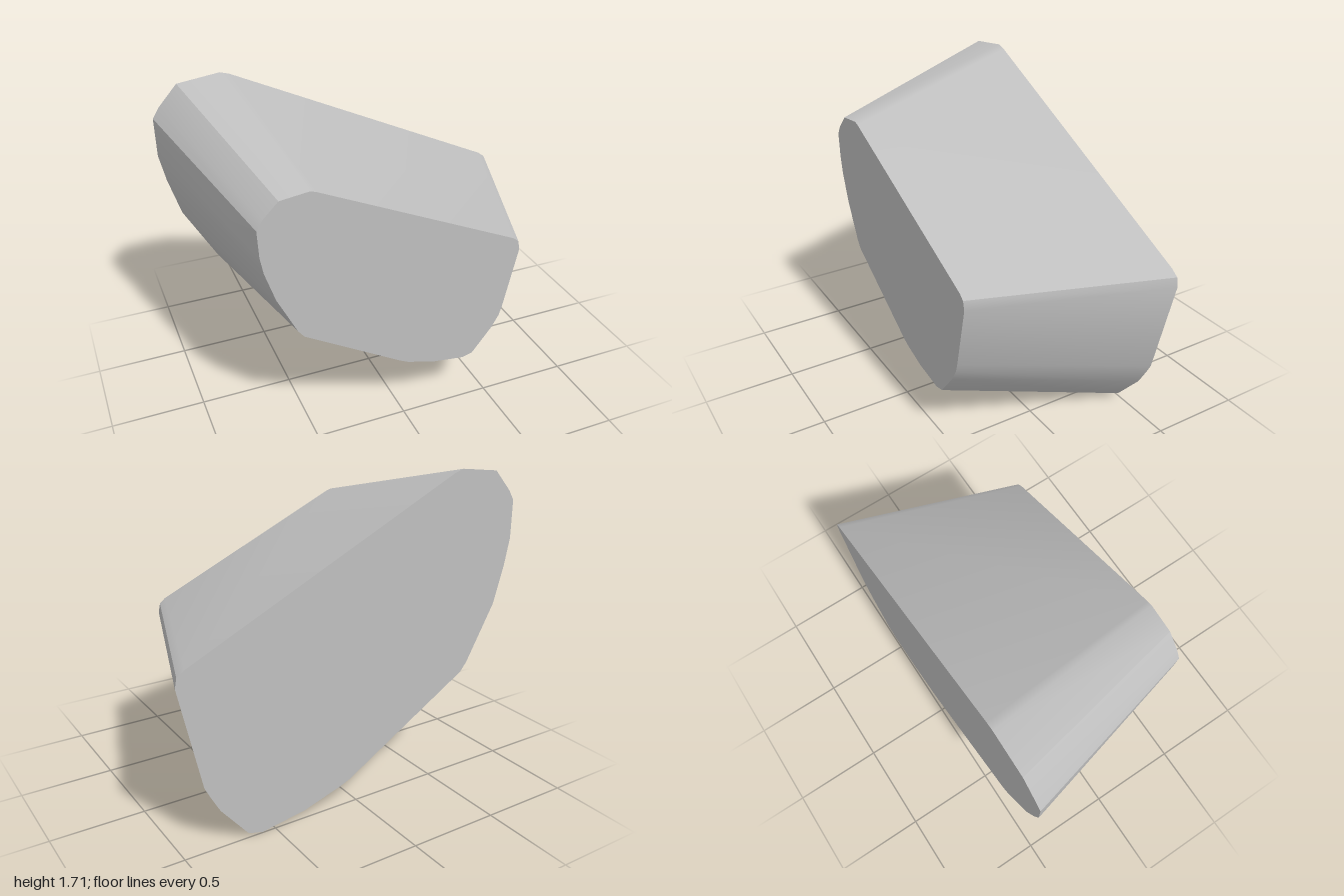
import * as THREE from 'three';
import { toCreasedNormals } from 'three/addons/utils/BufferGeometryUtils.js';

// Matching outlines, counter-clockwise as seen from the front
const BACK = [
  [-0.63, 1.71], [-0.86, 1.68], [-0.965, 1.565], [-1.0, 1.51], [-1.0, 1.3], [-0.97, 1.15], [-0.91, 0.94],
  [-0.74, 0.63], [-0.7, 0.58], [0.04, 0.135], [0.1, 0.11], [0.32, 0.04], [0.57, 0.0], [0.65, 0.02],
  [0.8, 0.2], [0.85, 0.29], [0.88, 0.35], [1.0, 0.89], [0.99, 0.94], [0.95, 0.97], [-0.58, 1.695],
];
const FRONT = [
  [-0.49, 1.46], [-0.64, 1.44], [-0.72, 1.36], [-0.75, 1.31], [-0.745, 1.17], [-0.73, 1.08], [-0.68, 0.92],
  [-0.58, 0.71], [-0.55, 0.67], [-0.03, 0.36], [0.02, 0.335], [0.17, 0.29], [0.35, 0.265], [0.41, 0.28],
  [0.52, 0.42], [0.56, 0.49], [0.575, 0.54], [0.65, 0.89], [0.64, 0.94], [0.61, 0.965], [-0.46, 1.45],
];
const HALF_DEPTH = 0.495;

// Tapered wall joining the two outlines
function wallGeometry() {
  const positions = [];
  const n = BACK.length;
  for (let i = 0; i < n; i++) {
    const j = (i + 1) % n;
    const b0 = [...BACK[i], -HALF_DEPTH], b1 = [...BACK[j], -HALF_DEPTH];
    const f0 = [...FRONT[i], HALF_DEPTH], f1 = [...FRONT[j], HALF_DEPTH];
    positions.push(...b0, ...b1, ...f1, ...b0, ...f1, ...f0);
  }
  const geometry = new THREE.BufferGeometry();
  geometry.setAttribute('position', new THREE.Float32BufferAttribute(positions, 3));
  return toCreasedNormals(geometry, 0.45);
}

// Flat end face looking towards +z
function capGeometry(outline) {
  const shape = new THREE.Shape(outline.map(([x, y]) => new THREE.Vector2(x, y)));
  return new THREE.ShapeGeometry(shape).translate(0, 0, HALF_DEPTH);
}

export function createModel() {
  const group = new THREE.Group();
  group.name = 'taperedBlock';
  const grey = new THREE.MeshStandardMaterial({ color: 0xbfbfbf });
  grey.name = 'stoneGrey';

  const add = (name, geometry) => {
    const mesh = new THREE.Mesh(geometry, grey);
    mesh.name = name;
    group.add(mesh);
  };
  add('sideWall', wallGeometry());
  add('frontFace', capGeometry(FRONT));
  // The back face is mirrored, then turned round to look towards -z
  add('backFace', capGeometry(BACK.map(([x, y]) => [-x, y])).rotateY(Math.PI));
  return group;
}
